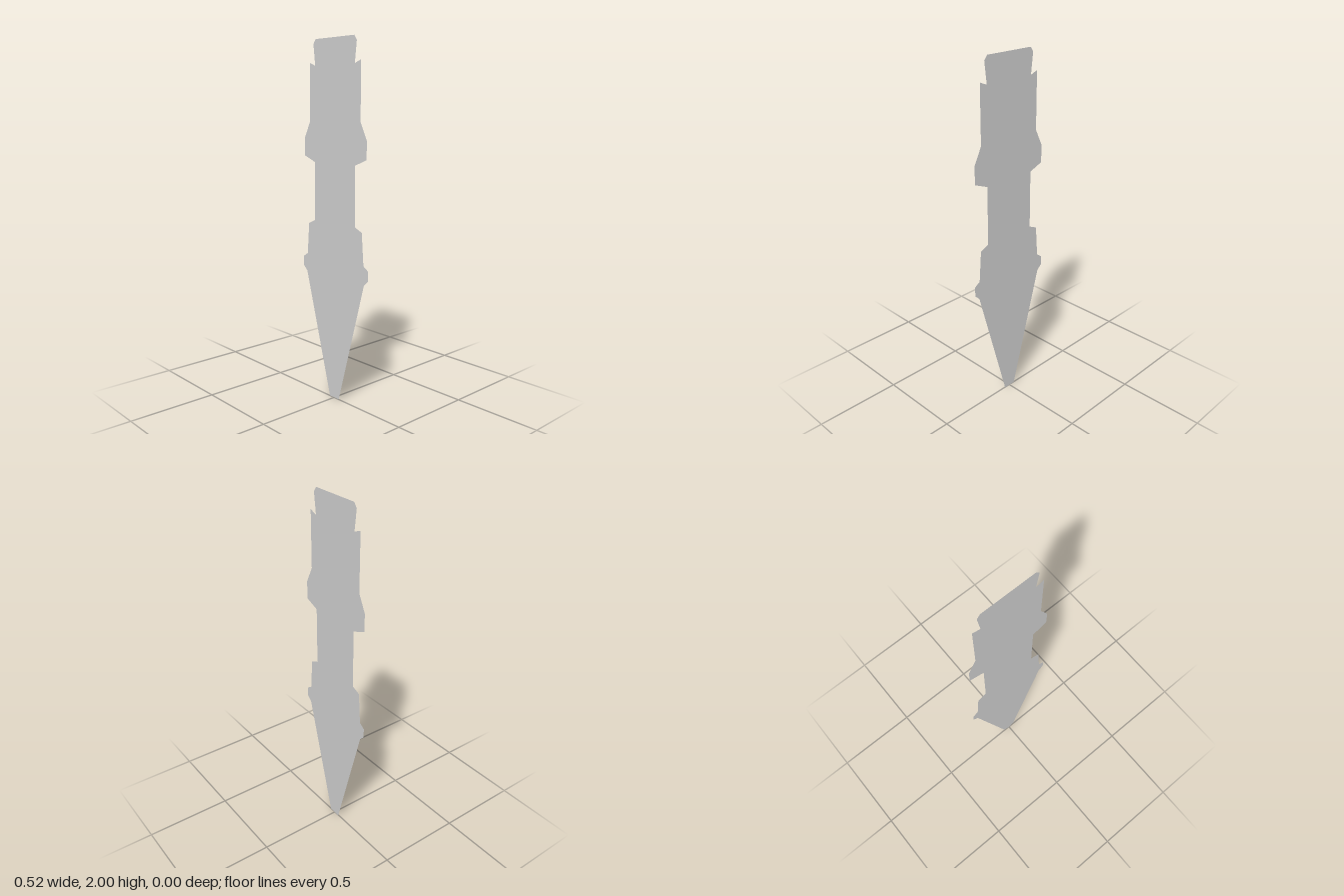
import * as THREE from 'three';

const material = new THREE.MeshStandardMaterial({ color: 0xcccccc, side: THREE.DoubleSide, flatShading: true });

// Right half of the blade outline, from top to tip: [half width, height]
const profile = [
  [0.15, 2], [0.169, 1.975], [0.155, 1.86], [0.2, 1.877], [0.2, 1.562],
  [0.246, 1.47], [0.246, 1.37], [0.161, 1.337], [0.161, 1.01], [0.214, 0.987],
  [0.228, 0.81], [0.262, 0.787], [0.262, 0.732], [0.233, 0.705], [0.037, 0],
];

function addPart(group, name, geometry, y, z) {
  const mesh = new THREE.Mesh(geometry, material);
  mesh.name = name;
  mesh.position.set(0, y, z);
  group.add(mesh);
}

export function createModel() {
  const group = new THREE.Group();
  group.name = 'flatBlade';

  // Flat sheet with a mirrored outline
  const right = profile.map(([x, y]) => new THREE.Vector2(x, y));
  const left = profile.map(([x, y]) => new THREE.Vector2(-x, y)).reverse();
  addPart(group, 'blade', new THREE.ShapeGeometry(new THREE.Shape([...right, ...left])), 0, -0.002);

  // Narrow flat strips along the centre of the front face: [name, bottom, top]
  for (const [name, bottom, top] of [['lowerStrip', 0.006, 0.995], ['upperStrip', 1.335, 1.88]]) {
    addPart(group, name, new THREE.PlaneGeometry(0.034, top - bottom), (bottom + top) / 2, 0.002);
  }
  return group;
}
